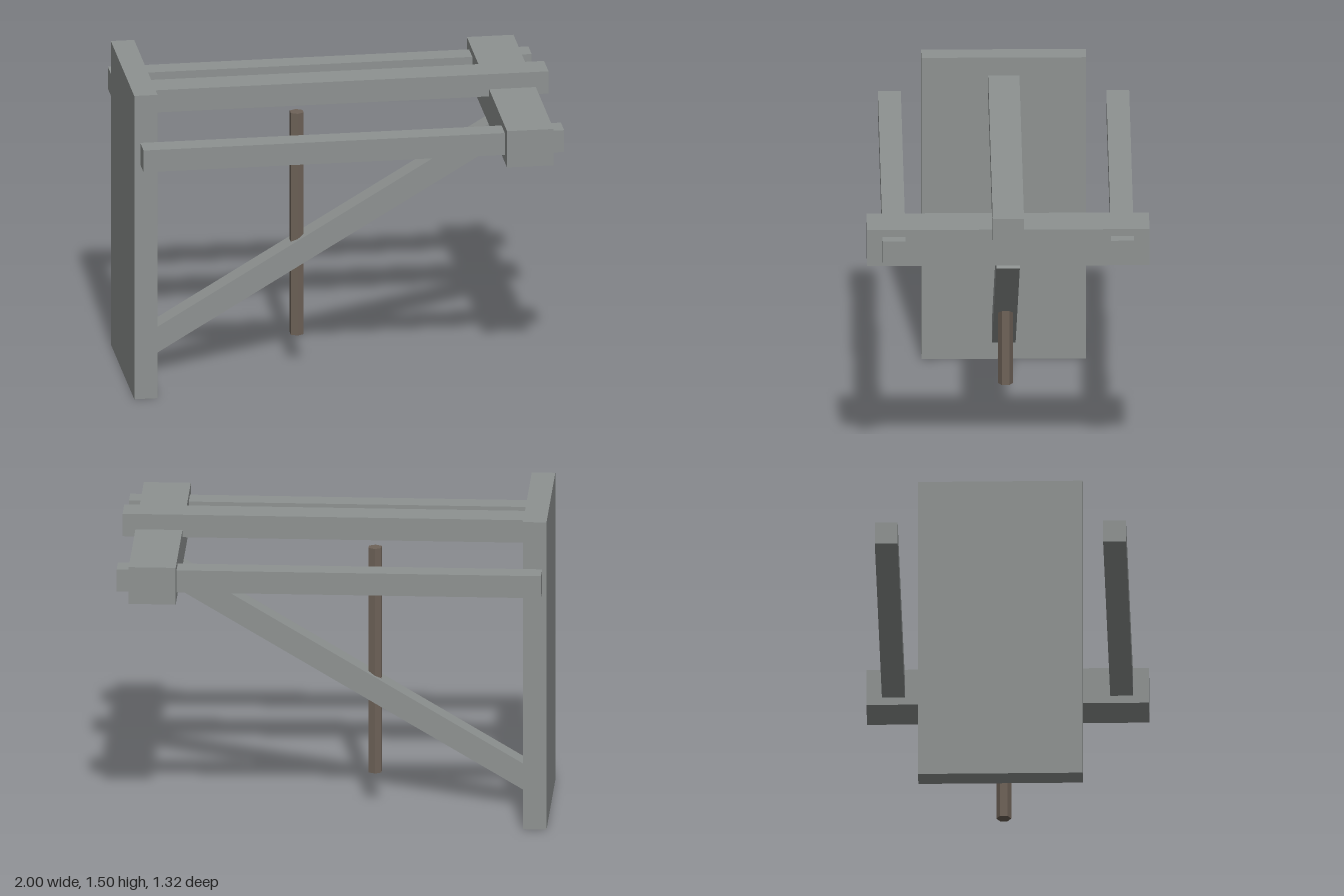
import * as THREE from 'three';

export function createModel() {
  const model = new THREE.Group();
  const grey = new THREE.MeshStandardMaterial({ color: 0x8e9291 });
  grey.name = 'weatheredGrey';
  const brown = new THREE.MeshStandardMaterial({ color: 0x6e6258 });
  brown.name = 'darkBrown';

  // Box given by its extents along each axis
  const beam = (name, [x0, x1], [y0, y1], [z0, z1]) => {
    const mesh = new THREE.Mesh(new THREE.BoxGeometry(x1 - x0, y1 - y0, z1 - z0), grey);
    mesh.position.set((x0 + x1) / 2, (y0 + y1) / 2, (z0 + z1) / 2);
    mesh.name = name;
    model.add(mesh);
  };

  // Upright slab and horizontal frame
  beam('backSlab', [-1, -0.89], [0, 1.505], [-0.385, 0.385]);
  beam('centreBeam', [-0.89, 1], [1.305, 1.415], [-0.073, 0.073]);
  beam('crossBeam', [0.72, 0.94], [1.16, 1.34], [-0.66, 0.66]);
  beam('leftRail', [-0.985, 1], [1.197, 1.305], [0.48, 0.587]);
  beam('rightRail', [-0.985, 1], [1.197, 1.305], [-0.587, -0.48]);

  // Diagonal brace, placed from the two ends of its lower edge
  const low = new THREE.Vector2(-0.88, 0.085);
  const high = new THREE.Vector2(0.857, 1.115);
  const angle = Math.atan2(high.y - low.y, high.x - low.x);
  const thick = 0.11;
  const brace = new THREE.Mesh(new THREE.BoxGeometry(low.distanceTo(high), thick, thick), grey);
  brace.position.set(
    (low.x + high.x) / 2 - Math.sin(angle) * thick / 2,
    (low.y + high.y) / 2 + Math.cos(angle) * thick / 2,
    0
  );
  brace.rotation.z = angle;
  brace.name = 'diagonalBrace';
  model.add(brace);

  // Six-sided hanging pole
  const poleGeometry = new THREE.CylinderGeometry(0.035, 0.035, 1.1, 6).toNonIndexed();
  poleGeometry.computeVertexNormals();
  const pole = new THREE.Mesh(poleGeometry, brown);
  pole.position.set(-0.178, 0.7, 0);
  pole.name = 'hangingPole';
  model.add(pole);

  return model;
}
